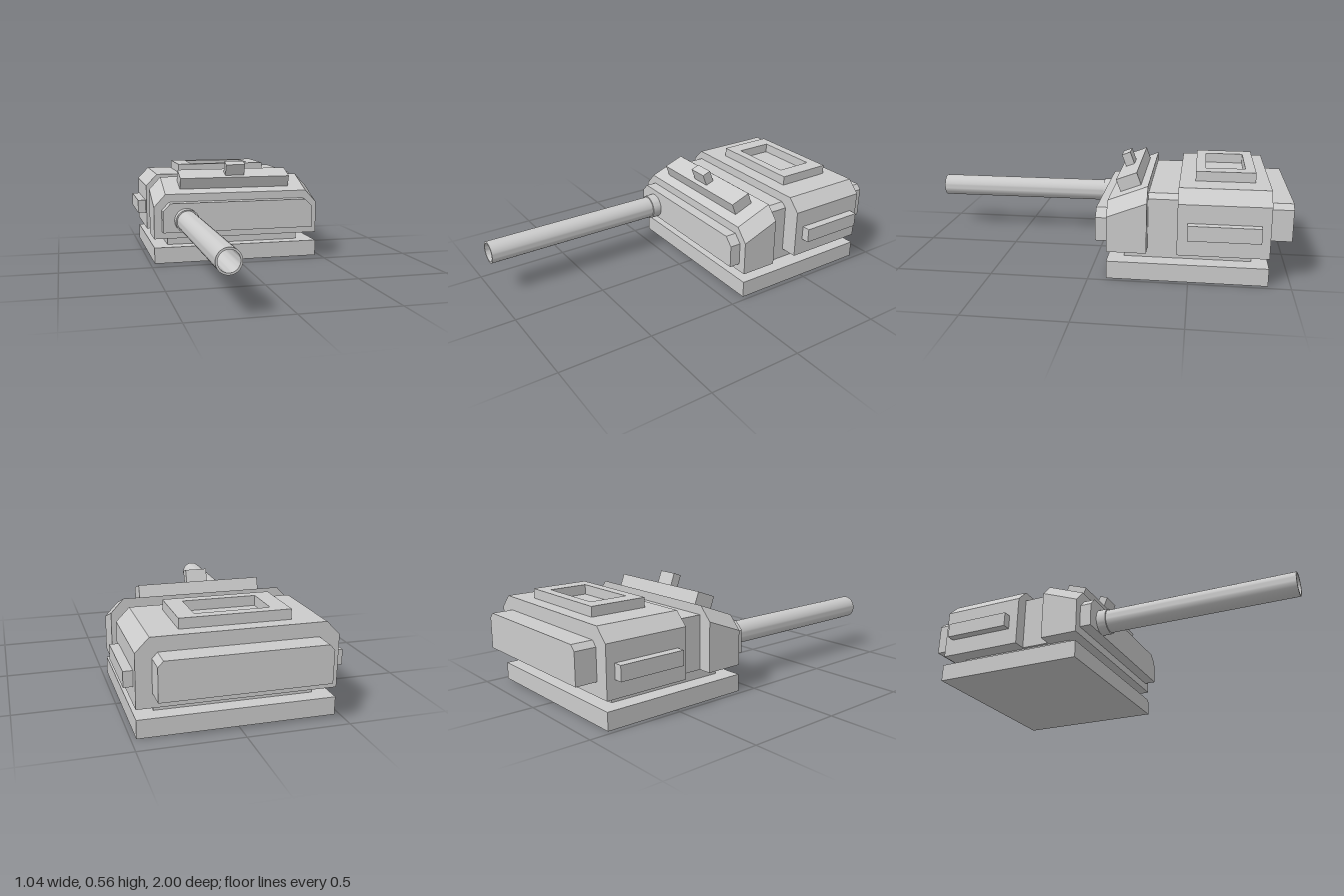
import * as THREE from 'three';
import { toCreasedNormals } from 'three/addons/utils/BufferGeometryUtils.js';

const material = new THREE.MeshStandardMaterial({ color: 0xcccccc, flatShading: true });
const smoothMaterial = new THREE.MeshStandardMaterial({ color: 0xcccccc, side: THREE.DoubleSide });

export function createModel() {
  const model = new THREE.Group();
  model.name = 'turret';

  const add = (name, geometry, mat = material) => {
    const mesh = new THREE.Mesh(geometry, mat);
    mesh.name = name;
    model.add(mesh);
    return mesh;
  };

  // Box given by its limits on each axis
  const box = (name, [x0, x1], [y0, y1], [z0, z1]) => {
    const mesh = add(name, new THREE.BoxGeometry(x1 - x0, y1 - y0, z1 - z0));
    mesh.position.set((x0 + x1) / 2, (y0 + y1) / 2, (z0 + z1) / 2);
    return mesh;
  };

  // Straight extrusion of an outline in x, y between two depths
  const slab = (points, z0, z1) => {
    const shape = new THREE.Shape(points.map(([x, y]) => new THREE.Vector2(x, y)));
    return new THREE.ExtrudeGeometry(shape, { depth: z1 - z0, bevelEnabled: false }).translate(0, 0, z0);
  };

  // Symmetric outline with chamfered upper corners
  const chamfered = (half, topHalf, y0, shoulder, y1) => [
    [-half, y0], [half, y0], [half, shoulder], [topHalf, y1], [-topHalf, y1], [-half, shoulder],
  ];

  // Base plate and turning ring
  box('basePlate', [-0.475, 0.475], [0, 0.09], [-0.89, -0.09]);
  box('neck', [-0.39, 0.38], [0.085, 0.145], [-0.81, -0.17]);

  // Rear hull, recessed middle and rear bustle
  add('rearHull', slab(chamfered(0.475, 0.41, 0.14, 0.40, 0.467), -0.89, -0.44));
  add('middleHull', slab([
    [-0.405, 0.14], [0.38, 0.14], [0.38, 0.395], [0.35, 0.42], [-0.405, 0.42],
  ], -0.45, -0.28));
  add('rearBustle', slab(chamfered(0.40, 0.375, 0.21, 0.37, 0.397), -1, -0.88));

  // Front hull, whose upper edges rise towards the back
  const front = slab(chamfered(0.475, 0.41, 0.14, 0.32, 0.39), -0.29, -0.09);
  const p = front.attributes.position;
  for (let i = 0; i < p.count; i++) {
    if (p.getY(i) > 0.2) p.setY(i, p.getY(i) + 0.077 * (-0.09 - p.getZ(i)) / 0.2);
  }
  front.computeVertexNormals();
  add('frontHull', front);
  add('frontPlate', slab(chamfered(0.432, 0.39, 0.183, 0.303, 0.346), -0.1, -0.03));

  // Side boxes
  for (const side of [-1, 1]) {
    const mesh = box('sideBox', [0.465, 0.52], [0.23, 0.306], [-0.845, -0.49]);
    mesh.position.x *= side;
  }

  // Roof hatch frame around a rectangular well
  const frame = new THREE.Shape([
    [-0.265, -0.15], [0.265, -0.15], [0.265, 0.15], [-0.265, 0.15],
  ].map(([x, y]) => new THREE.Vector2(x, y)));
  frame.holes.push(new THREE.Path([
    [-0.18, -0.1], [-0.18, 0.1], [0.18, 0.1], [0.18, -0.1],
  ].map(([x, y]) => new THREE.Vector2(x, y))));
  const hatch = add('hatchFrame', new THREE.ExtrudeGeometry(frame, { depth: 0.053, bevelEnabled: false }));
  hatch.rotation.x = -Math.PI / 2;
  hatch.position.set(0, 0.464, -0.67);

  // Sight bar and its knob, leaning with the front roof
  const tilted = (name, w, h, d, y, z) => {
    const mesh = add(name, new THREE.BoxGeometry(w, h, d));
    mesh.position.set(0, y, z);
    mesh.rotation.x = 0.36;
  };
  tilted('sightBar', 0.638, 0.07, 0.112, 0.46, -0.185);
  tilted('sightKnob', 0.11, 0.07, 0.048, 0.52, -0.155);

  // Hollow barrel and collar, turned about the gun axis
  const turned = (name, profile) => {
    const lathe = new THREE.LatheGeometry(profile.map(([r, z]) => new THREE.Vector2(r, z)), 40);
    const mesh = add(name, toCreasedNormals(lathe, 0.6), smoothMaterial);
    mesh.rotation.x = Math.PI / 2;
    mesh.position.set(-0.302, 0.25, 0);
  };
  turned('barrel', [[0.06, -0.04], [0.06, 1], [0.05, 1], [0.05, -0.02], [0, -0.02]]);
  turned('barrelCollar', [[0.067, -0.04], [0.067, 0.02], [0.058, 0.02]]);

  return model;
}
